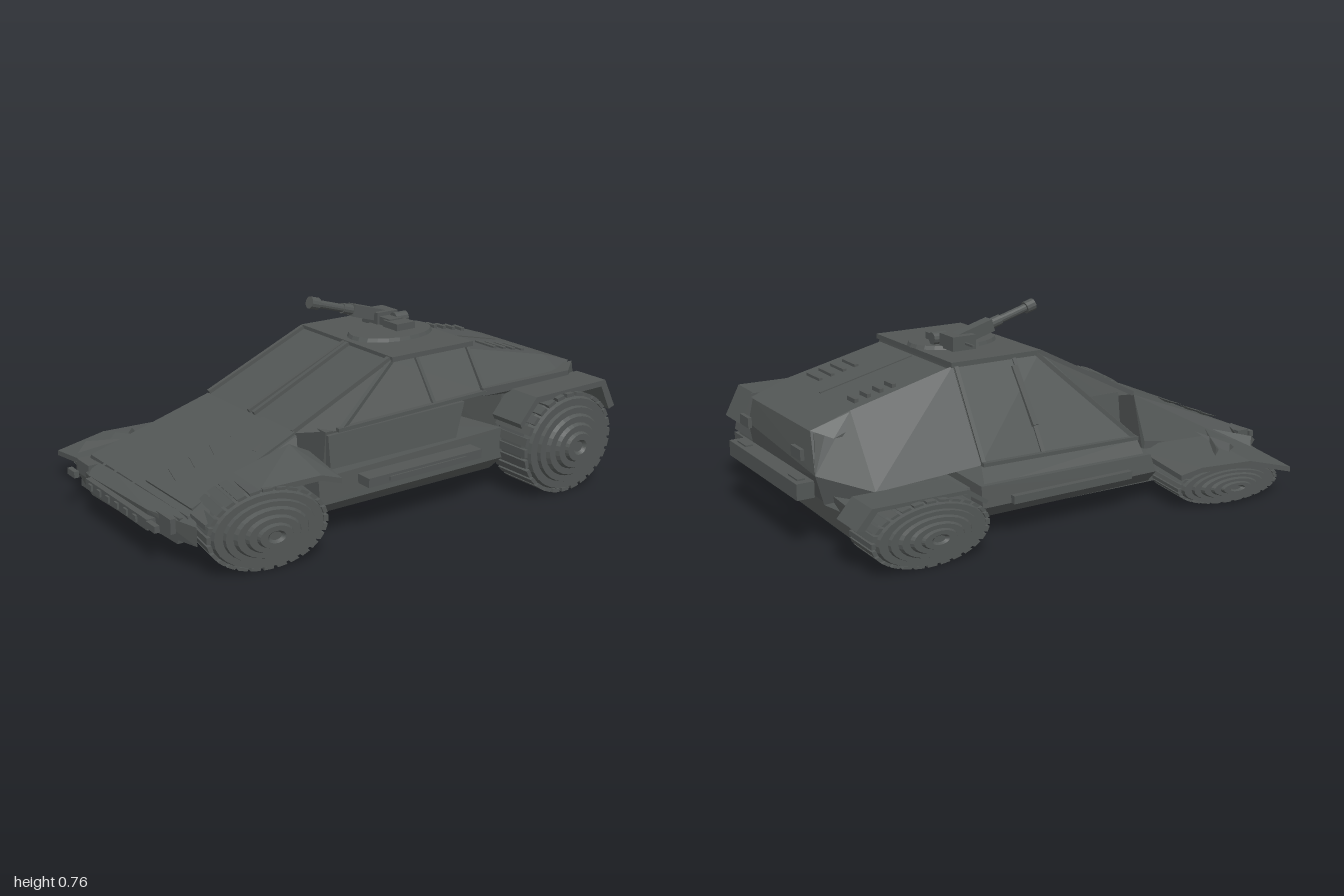
import * as THREE from 'three';
import { ConvexGeometry } from 'three/addons/geometries/ConvexGeometry.js';

const armour = new THREE.MeshStandardMaterial({ color: 0x525655 });
armour.name = 'dark grey armour';

export function createModel() {
  const car = new THREE.Group();
  car.name = 'armedBuggy';

  // Adds a flat-shaded mesh
  const add = (name, geo, parent = car) => {
    const g = geo.index ? geo.toNonIndexed() : geo;
    g.computeVertexNormals();
    const m = new THREE.Mesh(g, armour);
    m.name = name;
    parent.add(m);
    return m;
  };
  const box = (name, x0, x1, y0, y1, z0, z1, parent) => add(name,
    new THREE.BoxGeometry(x1 - x0, y1 - y0, z1 - z0)
      .translate((x0 + x1) / 2, (y0 + y1) / 2, (z0 + z1) / 2), parent);
  const hull = (name, pts) => add(name, new ConvexGeometry(pts.map(p => new THREE.Vector3(...p))));
  // One-sided sheet, corners anticlockwise seen from outside
  const panel = (name, pts) => {
    const tris = [];
    for (let i = 1; i < pts.length - 1; i++) tris.push(...pts[0], ...pts[i], ...pts[i + 1]);
    add(name, new THREE.BufferGeometry().setAttribute('position', new THREE.Float32BufferAttribute(tris, 3)));
  };
  // Side outline of [z, y] points, extruded across x
  const prism = (name, pts, x0, x1, parent) => add(name,
    new THREE.ExtrudeGeometry(new THREE.Shape(pts.map(p => new THREE.Vector2(...p))),
      { depth: x1 - x0, bevelEnabled: false }).rotateY(-Math.PI / 2).translate(x1, 0, 0), parent);
  // Square bar between two points
  const beam = (name, a, b, w, h) => {
    const A = new THREE.Vector3(...a), B = new THREE.Vector3(...b);
    const m = add(name, new THREE.BoxGeometry(w, h, A.distanceTo(B)));
    m.position.copy(A).add(B).multiplyScalar(0.5);
    m.lookAt(B);
  };

  // Chassis, wider between the axles
  hull('chassis', [
    [-0.4, 0.06, 0.92], [0.36, 0.09, 0.92], [-0.38, 0.15, 0.92], [0.38, 0.19, 0.92],
    [-0.39, 0.075, -0.86], [0.4, 0.09, -0.86], [-0.39, 0.2, -0.88], [0.42, 0.25, -0.88],
  ]);
  hull('sideBody', [
    [-0.4, 0.07, 0.4], [0.4, 0.08, 0.42], [-0.4, 0.07, -0.4], [0.42, 0.085, -0.44],
    [-0.47, 0.13, 0.38], [0.49, 0.15, 0.42], [-0.47, 0.13, -0.4], [0.49, 0.15, -0.44],
    [-0.46, 0.2, 0.36], [0.48, 0.25, 0.42], [-0.46, 0.21, -0.4], [0.48, 0.27, -0.44],
  ]);

  // Cab: glazed upper part and narrower tub
  hull('cabUpper', [
    [-0.2, 0.59, 0.02], [0.36, 0.59, 0.02], [-0.2, 0.59, -0.36], [0.36, 0.59, -0.36],
    [-0.25, 0.38, 0.43], [0.33, 0.38, 0.43], [0.45, 0.4, 0.32], [0.46, 0.42, -0.37],
    [-0.24, 0.42, -0.37], [-0.25, 0.39, 0.3],
  ]);
  hull('cabTub', [
    [-0.25, 0.4, 0.36], [0.44, 0.4, 0.36], [-0.25, 0.4, -0.27], [0.44, 0.4, -0.27],
    [-0.28, 0.18, 0.36], [0.42, 0.24, 0.36], [-0.28, 0.18, -0.22], [0.42, 0.24, -0.22],
  ]);
  box('roof', -0.21, 0.38, 0.585, 0.604, -0.37, 0.02);
  // Low outer flank of the cab
  panel('cabSidePanel', [[-0.2, 0.595, 0.02], [-0.2, 0.595, -0.36], [-0.41, 0.27, -0.37], [-0.4, 0.25, 0.34]]);
  panel('cabSideSkirt', [[-0.4, 0.25, 0.34], [-0.41, 0.27, -0.37], [-0.45, 0.2, -0.38], [-0.45, 0.19, 0.34]]);

  // Hood between the front wheels
  hull('hood', [
    [-0.26, 0.38, 0.43], [0.36, 0.38, 0.43], [-0.34, 0.2, 0.9], [0.4, 0.2, 0.9],
    [-0.31, 0.2, 0.45], [0.4, 0.29, 0.45], [-0.37, 0.13, 0.9], [0.41, 0.15, 0.9],
    [-0.31, 0.12, 0.45], [0.38, 0.12, 0.45],
  ]);

  // Windscreen posts and side window frames
  [[-0.2, -0.25], [0.085, 0.04], [0.105, 0.075], [0.36, 0.33]].forEach(([t, b]) =>
    beam('windscreenPost', [t, 0.595, 0.02], [b, 0.385, 0.43], 0.018, 0.018));
  [[0.36, 0.595, 0.0, 0.455, 0.405, 0.3], [0.36, 0.59, -0.1, 0.457, 0.412, -0.12],
    [0.36, 0.59, -0.35, 0.465, 0.42, -0.36], [-0.2, 0.595, 0.0, -0.4, 0.255, 0.33],
    [-0.2, 0.59, -0.1, -0.4, 0.27, -0.1], [-0.2, 0.59, -0.35, -0.41, 0.27, -0.36],
  ].forEach(p => beam('sideWindowPost', p.slice(0, 3), p.slice(3), 0.016, 0.016));
  beam('sillRail', [0.455, 0.405, 0.32], [0.465, 0.425, -0.36], 0.02, 0.014);
  beam('sillRail', [-0.4, 0.255, 0.34], [-0.42, 0.275, -0.37], 0.02, 0.014);
  beam('mirrorArm', [-0.35, 0.36, -0.1], [-0.22, 0.56, -0.11], 0.025, 0.02);
  // Door plate standing off the tall flank
  hull('doorPlate', [
    [0.455, 0.39, 0.36], [0.455, 0.4, -0.27], [0.47, 0.27, 0.36], [0.47, 0.27, -0.22],
    [0.44, 0.39, 0.36], [0.44, 0.4, -0.27], [0.44, 0.27, 0.36], [0.44, 0.27, -0.22],
  ]);

  // Rear engine bay with sloping deck, open ahead of the axle
  hull('rearDeck', [
    [-0.2, 0.575, -0.35], [0.37, 0.575, -0.35], [-0.19, 0.48, -0.77], [0.36, 0.48, -0.77],
    [-0.18, 0.43, -0.92], [0.35, 0.43, -0.92], [0.46, 0.43, -0.37], [0.45, 0.42, -0.78],
    [-0.22, 0.43, -0.37], [-0.22, 0.4, -0.85],
  ]);
  hull('engineBay', [
    [-0.22, 0.42, -0.5], [0.42, 0.42, -0.5], [-0.19, 0.42, -0.91], [0.36, 0.42, -0.91],
    [-0.23, 0.28, -0.93], [0.39, 0.32, -0.92], [-0.23, 0.18, -0.9], [0.39, 0.2, -0.9],
    [-0.28, 0.16, -0.46], [0.42, 0.2, -0.46], [0.42, 0.3, -0.8],
  ]);
  panel('rearFlank', [[-0.2, 0.59, -0.36], [-0.19, 0.482, -0.77], [-0.39, 0.24, -0.78], [-0.41, 0.27, -0.37]]);
  panel('rearQuarter', [[-0.19, 0.482, -0.77], [-0.18, 0.43, -0.92], [-0.23, 0.28, -0.93], [-0.39, 0.24, -0.78]]);
  panel('rearQuarterSkirt', [[-0.39, 0.24, -0.78], [-0.23, 0.28, -0.93], [-0.23, 0.17, -0.9], [-0.39, 0.15, -0.84]]);
  hull('rearFlankRail', [
    [0.36, 0.44, -0.35], [0.47, 0.44, -0.35], [0.47, 0.435, -0.8], [0.38, 0.435, -0.91],
    [0.36, 0.41, -0.35], [0.47, 0.41, -0.35], [0.47, 0.4, -0.8], [0.38, 0.33, -0.93],
  ]);
  // Deck louvres and centre ridge follow the deck slope
  const deckY = z => 0.575 + (z + 0.35) * 0.226;
  for (let i = 0; i < 4; i++) {
    const z = -0.55 - i * 0.05;
    beam('louvre', [0.2, deckY(z), z], [0.31, deckY(z), z], 0.016, 0.018);
    beam('louvre', [-0.14, deckY(z), z - 0.02], [-0.08, deckY(z), z - 0.02], 0.016, 0.018);
  }
  beam('deckRidge', [0.09, deckY(-0.37), -0.37], [0.08, deckY(-0.76), -0.76], 0.008, 0.008);
  box('rearBumper', -0.22, 0.4, 0.2, 0.26, -0.997, -0.93);
  [-0.15, 0.32].forEach(x => {
    box('rearLamp', x - 0.04, x + 0.04, 0.33, 0.37, -0.965, -0.95);
    box('bumperPad', x - 0.04, x + 0.04, 0.26, 0.266, -0.98, -0.95);
  });

  // Nose, front bumper and lamps
  hull('nose', [
    [-0.48, 0.09, 0.9], [-0.48, 0.13, 0.9], [0.46, 0.11, 0.9], [0.46, 0.18, 0.9],
    [-0.24, 0.08, 0.95], [0.22, 0.1, 0.95], [-0.24, 0.16, 0.96], [0.22, 0.18, 0.96],
    [-0.34, 0.2, 0.87], [0.4, 0.21, 0.87],
  ]);
  box('bumperBar', -0.22, 0.26, 0.12, 0.16, 0.94, 0.982);
  for (let i = 0; i < 6; i++) box('bumperStud', -0.185 + i * 0.07, -0.16 + i * 0.07, 0.128, 0.152, 0.975, 0.99);
  [-0.32, 0.31].forEach(x => {
    box('headlampHousing', x - 0.05, x + 0.05, 0.13, 0.185, 0.89, 0.945);
    box('headlamp', x - 0.03, x + 0.03, 0.14, 0.165, 0.975, 0.995);
  });
  // Torn hood skin with a jagged edge
  const jag = [[0.35, 0], [0.39, 0.48], [0.06, 0.48]];
  for (let i = 0; i < 5; i++) jag.push([0.18, 0.42 - i * 0.085], [0.07 + i * 0.012, 0.39 - i * 0.085]);
  jag.push([0.14, 0]);
  const skin = add('hoodSkin', new THREE.ExtrudeGeometry(
    new THREE.Shape(jag.map(p => new THREE.Vector2(...p))), { depth: 0.009, bevelEnabled: false })
    .rotateX(Math.PI / 2));
  skin.rotation.x = Math.atan2(0.18, 0.47);
  skin.position.set(0, 0.391, 0.43);
  beam('hoodLatch', [0.3, 0.355, 0.5], [0.31, 0.33, 0.57], 0.04, 0.015);
  [-0.2, -0.11, 0.03].forEach(x => hull('hoodTear', [[x - 0.05, 0.236, 0.83], [x + 0.05, 0.236, 0.83],
    [x, 0.2, 0.93], [x, 0.22, 0.84]]));

  // Side steps
  box('sideStep', 0.47, 0.55, 0.2, 0.235, -0.28, 0.25);
  box('sideStepPad', 0.5, 0.556, 0.21, 0.225, -0.2, 0.16);
  box('sideStep', -0.49, -0.42, 0.13, 0.16, -0.28, 0.25);

  // Wheel with stepped domed hub and tread; squashed to its height
  const wheelUnit = (name, side, inner, outer, hub, z, rz, height, yaw) => {
    const g = new THREE.Group(), w = outer - inner, dome = hub - outer;
    g.name = name;
    const profile = [[0, 0], [0.85, 0], [0.97, 0.03], [0.97, w - 0.04], [0.9, w], [0.76, w]];
    [0.74, 0.58, 0.42, 0.27].forEach((r, i) =>
      profile.push([r, w + dome * (i + 1) / 4], [r - 0.12, w + dome * (i + 1) / 4]));
    profile.push([0.1, w + dome * 0.8], [0, w + dome * 0.8]);
    add('tyreAndHub', new THREE.LatheGeometry(profile.map(q => new THREE.Vector2(...q)), 28)
      .rotateZ(-side * Math.PI / 2), g);
    for (let i = 0; i < 28; i++) {
      add('treadBlock', new THREE.BoxGeometry(w - 0.02, 0.07, 0.16)
        .translate(side * w / 2, 0.965, 0).rotateX(i * Math.PI / 14), g);
    }
    g.scale.set(1, height / 2, rz);
    g.rotation.y = yaw;
    g.position.set(side * inner, height / 2 + 0.003, z);
    car.add(g);
  };
  wheelUnit('frontLeftWheel', 1, 0.38, 0.565, 0.625, 0.65, 0.225, 0.295, -0.15);
  wheelUnit('frontRightWheel', -1, 0.42, 0.63, 0.685, 0.65, 0.225, 0.155, -0.15);
  wheelUnit('rearLeftWheel', 1, 0.43, 0.635, 0.69, -0.66, 0.23, 0.4, 0);
  wheelUnit('rearRightWheel', -1, 0.39, 0.575, 0.625, -0.66, 0.23, 0.235, 0);

  // Rear mudguards arch over the tyres
  [[0.45, 0.605, 0.2], [-0.54, -0.39, 0.117]].forEach(([x0, x1, r]) => prism('rearMudguard',
    [[-0.93, 1.5], [-0.87, 2.08], [-0.5, 2.06], [-0.42, 1.6], [-0.43, 1.5], [-0.51, 1.94], [-0.85, 1.96], [-0.9, 1.45]]
      .map(([z, y]) => [z, y * r]), x0, x1));

  // Front mudguards: stations of z, inner x and y, outer x and y
  [[[0.39, 0.38, 0.32, 0.58, 0.28], [0.47, 0.37, 0.36, 0.57, 0.305], [0.7, 0.37, 0.305, 0.54, 0.295],
    [0.89, 0.4, 0.21, 0.5, 0.2]],
  [[0.39, -0.38, 0.18, -0.61, 0.15], [0.48, -0.36, 0.2, -0.625, 0.17], [0.7, -0.37, 0.195, -0.65, 0.165],
    [0.89, -0.39, 0.15, -0.675, 0.115]]].forEach(stations => {
    for (let i = 0; i < 3; i++) {
      hull('frontMudguard', [stations[i], stations[i + 1]].flatMap(([z, xi, yi, xo, yo]) =>
        [[xi, yi, z], [xi, yi - 0.02, z], [xo, yo, z], [xo, yo - 0.02, z]]));
    }
  });
  // Bent shards on the crushed front corner
  [[-0.56, 0.6, -0.36, 0.72], [-0.55, 0.68, -0.37, 0.66], [-0.52, 0.82, -0.38, 0.74]].forEach(([x, z, tx, tz]) =>
    hull('bentShard', [[x, 0.17, z], [x + 0.06, 0.17, z + 0.08], [tx, 0.22, tz], [x + 0.03, 0.2, z + 0.03]]));

  // Roof gun on an oval turntable
  add('turntable', new THREE.CylinderGeometry(0.125, 0.13, 0.014, 24).scale(1, 1, 1.42)
    .translate(0.095, 0.611, -0.19));
  box('gunBase', -0.085, 0.015, 0.61, 0.665, -0.29, -0.19);
  box('gunBase', 0.05, 0.14, 0.61, 0.645, -0.28, -0.19);
  box('gunBridge', -0.03, 0.08, 0.612, 0.65, -0.27, -0.2);
  const gun = new THREE.Group();
  gun.name = 'gun';
  gun.position.set(-0.03, 0.665, -0.16);
  gun.rotation.x = -0.28;
  box('receiver', -0.024, 0.024, -0.024, 0.024, -0.1, 0.07, gun);
  [['barrel', 0.016, 0.2, 0.14], ['muzzle', 0.024, 0.04, 0.255], ['barrelSleeve', 0.021, 0.05, 0.09]]
    .forEach(([name, r, l, z]) => add(name, new THREE.CylinderGeometry(r, r, l, 12)
      .rotateX(Math.PI / 2).translate(0, 0, z), gun));
  car.add(gun);
  add('ammoDrum', new THREE.CylinderGeometry(0.024, 0.024, 0.06, 12).rotateX(Math.PI / 2)
    .translate(0.04, 0.64, -0.28));
  beam('gunHandle', [-0.14, 0.635, -0.235], [-0.08, 0.635, -0.235], 0.008, 0.008);

  return car;
}
